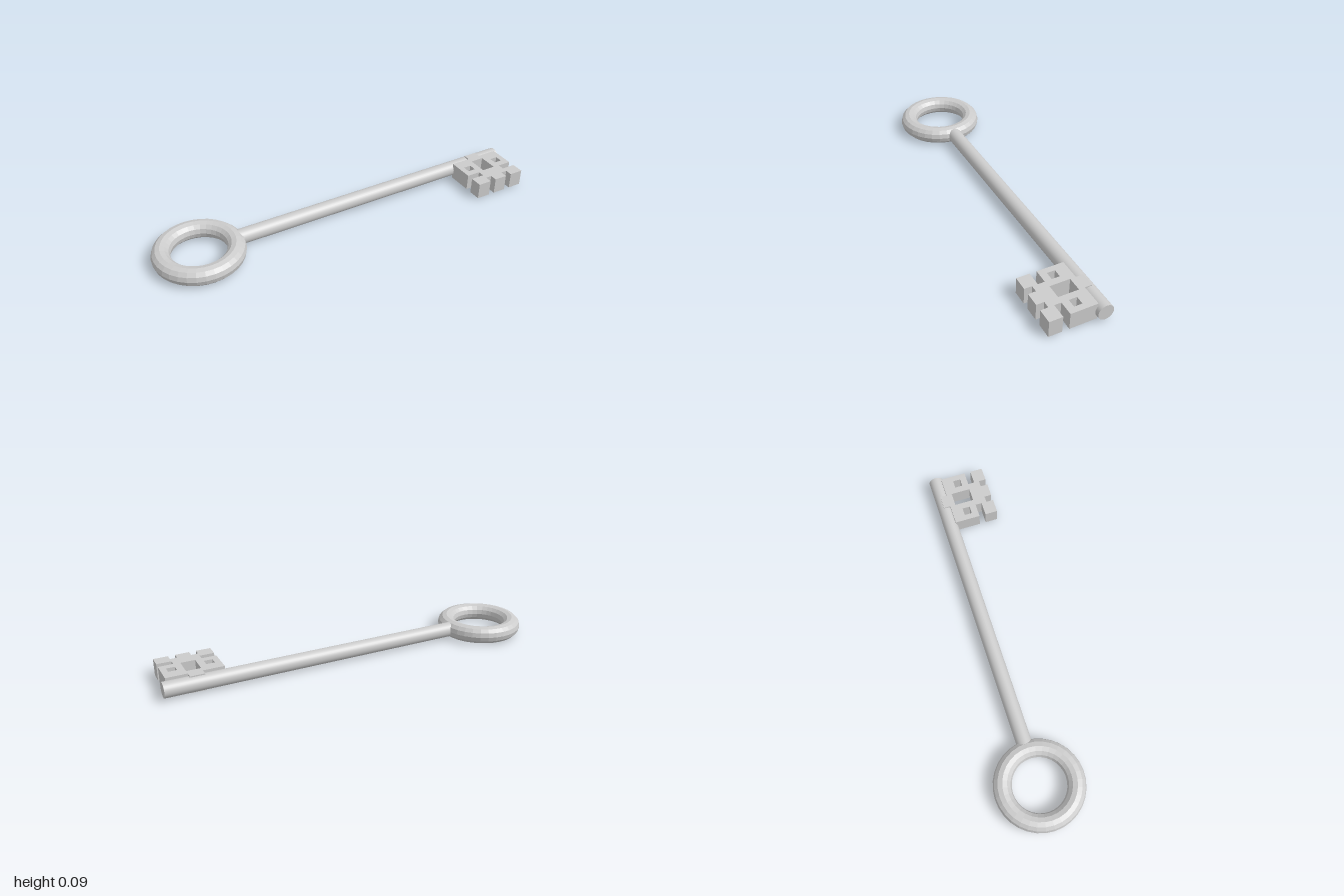
import * as THREE from 'three';

const flat = new THREE.MeshStandardMaterial({ color: 0xcccccc, flatShading: true });
const smooth = new THREE.MeshStandardMaterial({ color: 0xcccccc });

// Closed rectangle outline used for the openings in the bit
function rectPath(x0, x1, z0, z1) {
  return new THREE.Path([[x0, z0], [x0, z1], [x1, z1], [x1, z0]].map(p => new THREE.Vector2(...p)));
}

export function createModel() {
  const key = new THREE.Group();
  key.name = 'key';
  const add = (name, geometry, material, x, y, z) => {
    const mesh = new THREE.Mesh(geometry, material);
    mesh.name = name;
    mesh.position.set(x, y, z);
    key.add(mesh);
  };

  // Round handle lying flat
  add('handleRing', new THREE.TorusGeometry(0.18, 0.046, 12, 32).rotateX(Math.PI / 2), flat, -0.774, 0.046, -0.015);

  // Straight shaft, from inside the ring to the tip
  const start = -0.585, end = 1;
  add('shaft', new THREE.CylinderGeometry(0.039, 0.039, end - start, 32).rotateZ(Math.PI / 2), smooth,
    (start + end) / 2, 0.047, -0.021);

  // Bit outline: half profile as [distance from its centre line, z], then mirrored
  const cx = 0.836;
  const half = [
    [0.036, -0.03], [0.036, 0.006], [0.142, 0.006], [0.142, 0.141], [0.069, 0.141], [0.069, 0.175],
    [0.142, 0.175], [0.142, 0.241], [0.069, 0.241], [0.069, 0.203], [0.035, 0.203], [0.035, 0.241],
  ];
  const outline = [...half, ...half.map(([x, z]) => [-x, z]).reverse()];
  const shape = new THREE.Shape(outline.map(([x, z]) => new THREE.Vector2(x, z)));

  // Central window and two small square holes
  shape.holes.push(rectPath(-0.036, 0.036, 0.035, 0.137));
  for (const s of [-1, 1]) shape.holes.push(rectPath(s * 0.091 - 0.021, s * 0.091 + 0.021, 0.066, 0.106));

  const bit = new THREE.ExtrudeGeometry(shape, { depth: 0.086, bevelEnabled: false }).rotateX(Math.PI / 2);
  add('bit', bit, flat, cx, 0.091, 0);

  return key;
}
